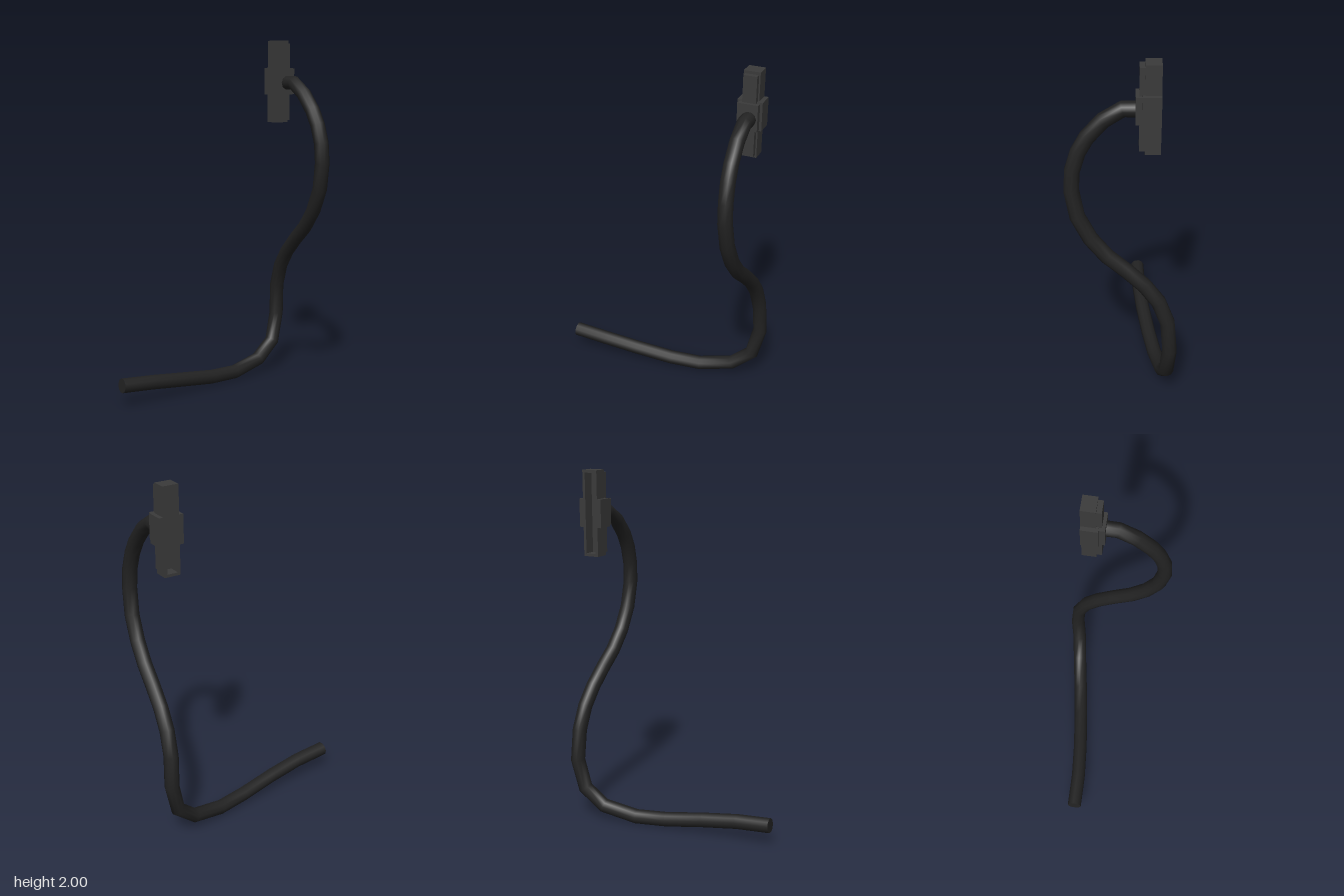
import * as THREE from 'three';

const cableMat = new THREE.MeshStandardMaterial({ color: 0x222222 });
const plugMat = new THREE.MeshStandardMaterial({ color: 0x3a3a3a });
const R = 0.041;
const CX = 0.471; // connector centre in x

// Cable path from the plug to the loose end: x, y, z
const path = [
  [0.478, 1.76, -0.08], [0.478, 1.76, 0], [0.478, 1.70, 0.095], [0.48, 1.61, 0.175],
  [0.483, 1.53, 0.22], [0.487, 1.43, 0.25], [0.49, 1.32, 0.257], [0.497, 1.17, 0.23],
  [0.503, 1.04, 0.165], [0.51, 0.935, 0.08], [0.518, 0.85, -0.02], [0.526, 0.76, -0.115],
  [0.534, 0.66, -0.19], [0.542, 0.53, -0.24], [0.55, 0.35, -0.255], [0.51, 0.18, -0.243],
  [0.395, 0.083, -0.225], [0.2, 0.042, -0.19], [0.02, 0.05, -0.16], [-0.2, 0.08, -0.128],
  [-0.4, 0.105, -0.108], [-0.597, 0.12, -0.102],
].map((p) => new THREE.Vector3(...p));

// Box given by its limits, centred on the connector in x
function plugBox(name, width, y0, y1, z0, z1) {
  const mesh = new THREE.Mesh(new THREE.BoxGeometry(width, y1 - y0, z1 - z0), plugMat);
  mesh.position.set(CX, (y0 + y1) / 2, (z0 + z1) / 2);
  mesh.name = name;
  return mesh;
}

function rectangle(target, w, h) {
  target.moveTo(-w / 2, -h / 2);
  target.lineTo(w / 2, -h / 2);
  target.lineTo(w / 2, h / 2);
  target.lineTo(-w / 2, h / 2);
  target.closePath();
  return target;
}

function makeCable() {
  const cable = new THREE.Group();
  cable.name = 'cable';
  const curve = new THREE.CatmullRomCurve3(path);
  // Rings sit exactly on the path points
  curve.getPointAt = curve.getPoint;
  curve.getTangentAt = curve.getTangent;
  const tube = new THREE.Mesh(new THREE.TubeGeometry(curve, path.length - 1, R, 10), cableMat);
  tube.name = 'cord';
  const cap = new THREE.Mesh(new THREE.CircleGeometry(R, 10), cableMat);
  cap.name = 'cordEnd';
  const end = path[path.length - 1];
  cap.position.copy(end);
  cap.lookAt(end.clone().add(curve.getTangent(1)));
  cable.add(tube, cap);
  return cable;
}

function makeConnector() {
  const connector = new THREE.Group();
  connector.name = 'connector';

  // Housing open at the back, with a floor behind its recess
  const shape = rectangle(new THREE.Shape(), 0.09, 0.47);
  shape.holes.push(rectangle(new THREE.Path(), 0.06, 0.44));
  const rim = new THREE.Mesh(
    new THREE.ExtrudeGeometry(shape, { depth: 0.065, bevelEnabled: false }), plugMat);
  rim.position.set(CX, 1.765, -0.187);
  rim.name = 'housingRim';
  connector.add(
    rim,
    plugBox('housingFloor', 0.09, 1.53, 2.0, -0.122, -0.108),
    plugBox('frontStep', 0.074, 1.545, 1.985, -0.108, -0.08),
    plugBox('collar', 0.11, 1.695, 1.84, -0.1, -0.062),
  );

  // Grip wings on both sides of the housing
  for (const side of [-1, 1]) {
    const wing = plugBox(side > 0 ? 'leftWing' : 'rightWing', 0.0235, 1.69, 1.845, -0.187, -0.095);
    wing.position.x += side * 0.0565;
    connector.add(wing);
  }
  connector.add(plugBox('wingBridge', 0.09, 1.69, 1.845, -0.108, -0.095));
  return connector;
}

export function createModel() {
  const model = new THREE.Group();
  model.name = 'cableWithConnector';
  model.add(makeCable(), makeConnector());
  return model;
}
